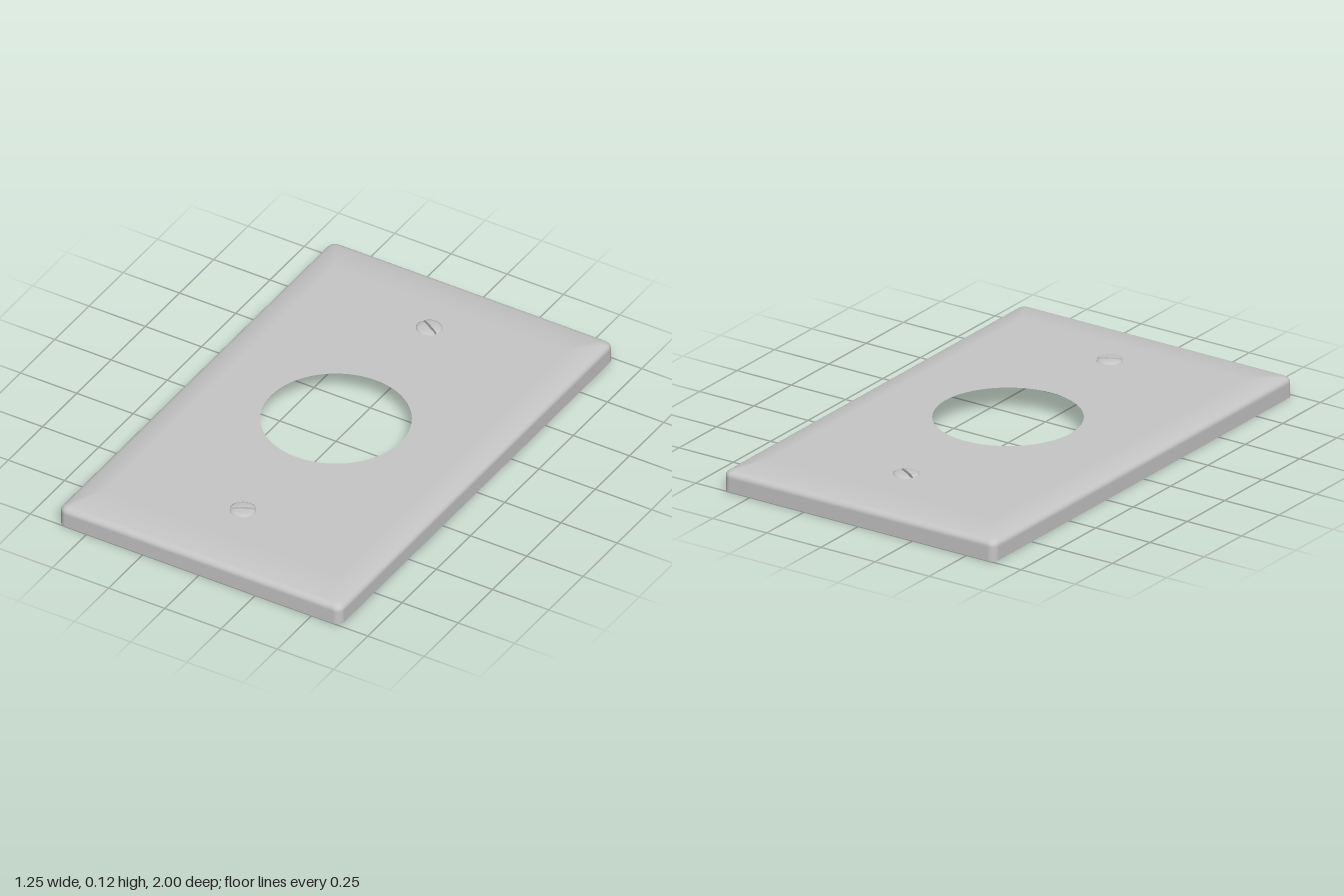
import * as THREE from 'three';

const TOP = 0.107;
const HEAD_R = 0.05;
const SCREW_Z = 0.68;

// Rounded rectangle outline as [x, z] points
function outline(hx, hz, r, steps = 6) {
  const pts = [];
  [[1, 1], [-1, 1], [-1, -1], [1, -1]].forEach(([sx, sz], corner) => {
    for (let i = 0; i <= steps; i++) {
      const a = (corner + i / steps) * Math.PI / 2;
      pts.push([sx * (hx - r) + r * Math.cos(a), sz * (hz - r) + r * Math.sin(a)]);
    }
  });
  return pts;
}

// Side wall, rounded shoulder and shallow bevel, lofted through outline rings
function skirtGeometry(rings) {
  const pos = [], index = [];
  rings.forEach(([hx, hz, r, y]) => outline(hx, hz, r).forEach(([x, z]) => pos.push(x, y, z)));
  const n = pos.length / 3 / rings.length;
  for (let k = 0; k < rings.length - 1; k++) {
    for (let i = 0; i < n; i++) {
      const a = k * n + i, b = k * n + (i + 1) % n;
      index.push(a, a + n, b, b, a + n, b + n);
    }
  }
  const geo = new THREE.BufferGeometry();
  geo.setAttribute('position', new THREE.Float32BufferAttribute(pos, 3));
  geo.setIndex(index);
  geo.computeVertexNormals();
  // blend the bevel smoothly into the flat face
  for (let i = (rings.length - 1) * n; i < rings.length * n; i++) geo.attributes.normal.setXYZ(i, 0, 1, 0);
  return geo;
}

// Flat face with the central opening and two screw holes
function faceGeometry(hx, hz, r) {
  const shape = new THREE.Shape(outline(hx, hz, r).map(([x, z]) => new THREE.Vector2(x, z)));
  [[0, 0.288], [SCREW_Z, HEAD_R - 0.001], [-SCREW_Z, HEAD_R - 0.001]].forEach(([z, rad]) => {
    shape.holes.push(new THREE.Path().absarc(0, z, rad, 0, Math.PI * 2, true));
  });
  return new THREE.ShapeGeometry(shape, 40).rotateX(-Math.PI / 2).translate(0, TOP, 0);
}

function createScrew(material) {
  const screw = new THREE.Group();
  const add = (name, geo, turn = 0) => {
    const mesh = new THREE.Mesh(geo, material);
    mesh.name = name;
    mesh.rotation.y = turn;
    screw.add(mesh);
  };
  const floor = 0.1, bottom = 0.07, gap = 0.006;
  add('screwBody', new THREE.CylinderGeometry(HEAD_R, HEAD_R, floor - bottom, 32).translate(0, (floor + bottom) / 2, 0));

  // Domed head in two halves on either side of the slot
  const profile = [[HEAD_R, floor], [HEAD_R, TOP], [0.044, 0.1105], [0.034, 0.1135], [0.018, 0.115], [0, 0.1155]]
    .map(([x, y]) => new THREE.Vector2(x, y));
  const half = new THREE.LatheGeometry(profile, 20, -Math.PI / 2, Math.PI);
  const p = half.attributes.position;
  for (let i = 0; i < p.count; i++) p.setZ(i, gap + p.getZ(i) * (HEAD_R - gap) / HEAD_R);
  const mirrored = profile.slice(0, -1).reverse().map((v) => new THREE.Vector2(-v.x, v.y));
  const wall = new THREE.ShapeGeometry(new THREE.Shape([...profile, ...mirrored])).translate(0, 0, gap);
  [0, Math.PI].forEach((turn) => {
    add('screwHeadHalf', half, turn);
    add('slotWall', wall, turn);
  });
  return screw;
}

export function createModel() {
  const model = new THREE.Group();
  model.name = 'wallPlate';
  const grey = new THREE.MeshStandardMaterial({ color: 0xc6c6c6, side: THREE.DoubleSide });
  grey.name = 'light grey';

  const X = 0.627, Z = 1, flat = [0.513, 0.83, 0.006];
  // inset and height of each ring up the edge
  const edge = [[0, 0], [0, 0.055], [0, 0.062], [0.002, 0.068], [0.006, 0.074], [0.012, 0.0785], [0.02, 0.0815], [0.028, 0.084]];
  const rings = edge.map(([d, y]) => [X - d, Z - d, 0.032 - d * 0.5, y]);
  rings.push([...flat, TOP]);

  const skirt = new THREE.Mesh(skirtGeometry(rings), grey);
  skirt.name = 'plateEdge';
  const face = new THREE.Mesh(faceGeometry(...flat), grey);
  face.name = 'plateFace';
  model.add(skirt, face);

  [-1, 1].forEach((side) => {
    const screw = createScrew(grey);
    screw.name = side < 0 ? 'backScrew' : 'frontScrew';
    screw.position.z = side * SCREW_Z;
    screw.rotation.y = side * Math.PI / 6;
    model.add(screw);
  });
  return model;
}
